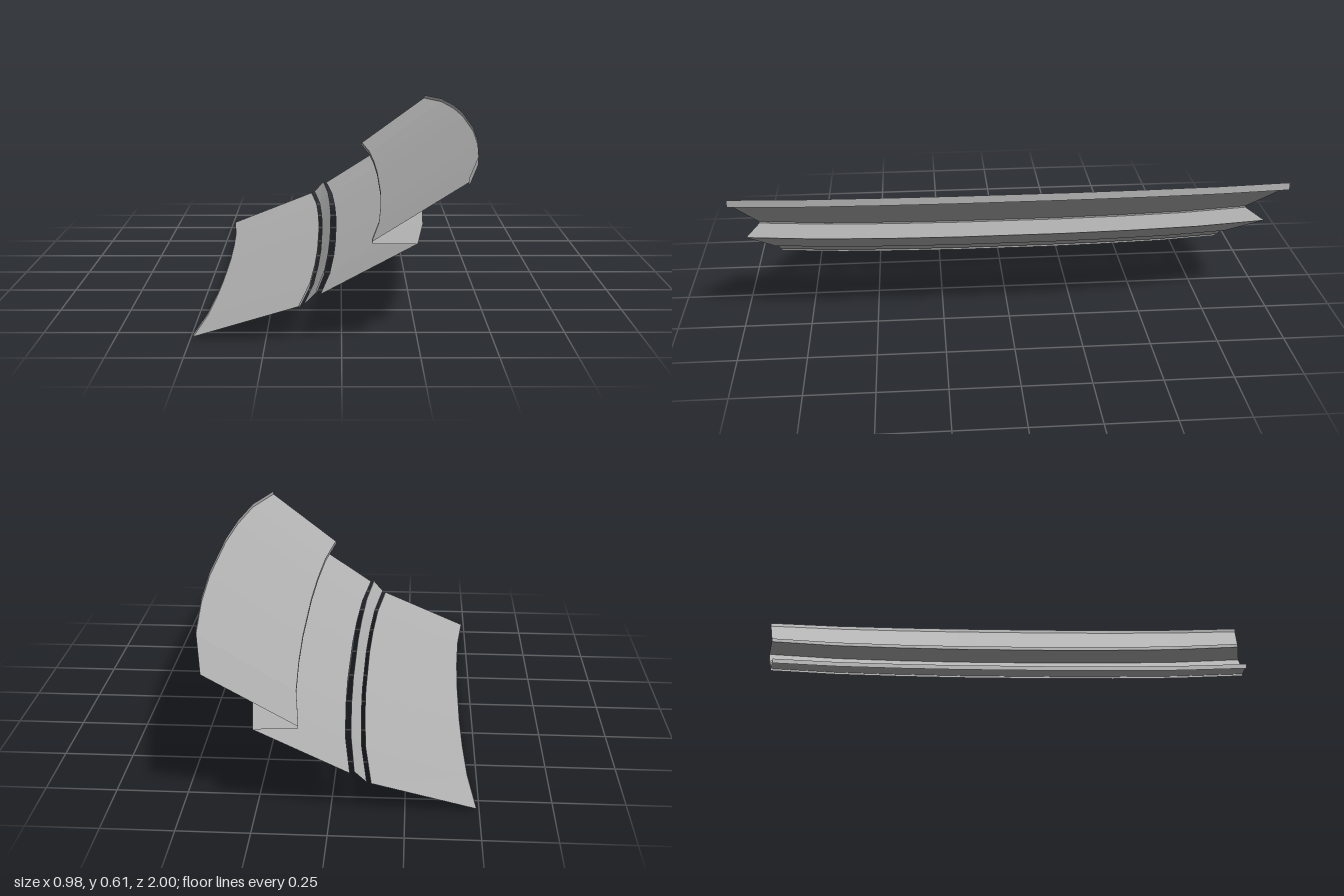
import * as THREE from 'three';

const grey = new THREE.MeshStandardMaterial({ color: 0xb4b4b4, side: THREE.DoubleSide, flatShading: true });
grey.name = 'concrete grey';

// Seven-segment bowed edge: fraction of the half length, and how far it has reached the middle
const HALF = [[1, 0], [0.725, 0.6], [0.455, 0.87], [0.2, 1]];
const STATIONS = [...HALF, ...HALF.slice().reverse().map(([f, b]) => [-f, b])];

// An edge runs from its end point (xEnd, yEnd) through its middle point (xMid, yMid)
function edge(xEnd, xMid, yEnd, yMid, halfLength) {
  return STATIONS.map(([f, b]) => new THREE.Vector3(
    THREE.MathUtils.lerp(xEnd, xMid, b),
    THREE.MathUtils.lerp(yEnd, yMid, b),
    f * halfLength));
}

// Sheet spanning two edges
function sheet(name, a, b) {
  const points = [];
  for (let i = 0; i < a.length - 1; i++) {
    points.push(a[i], b[i], b[i + 1], a[i], b[i + 1], a[i + 1]);
  }
  const geometry = new THREE.BufferGeometry().setFromPoints(points);
  geometry.computeVertexNormals();
  const mesh = new THREE.Mesh(geometry, grey);
  mesh.name = name;
  return mesh;
}

// Thin upright band centred on an edge
function rail(name, line, height) {
  const shifted = (dy) => line.map((p) => p.clone().setY(p.y + dy));
  return sheet(name, shifted(-height / 2), shifted(height / 2));
}

export function createModel() {
  const group = new THREE.Group();
  group.name = 'curvedGrandstand';

  // Edges from the lowest row to the highest
  const lowerFront = edge(-0.49, -0.452, 0.008, 0.008, 0.817);
  const lowerBack = edge(-0.137, -0.09, 0.134, 0.134, 0.887);
  const aisleFront = edge(-0.123, -0.077, 0.14, 0.14, 0.89);
  const aisleBack = edge(-0.082, -0.042, 0.184, 0.184, 0.9);
  const middleFront = edge(-0.068, -0.021, 0.18, 0.18, 0.905);
  const middleBack = edge(0.238, 0.294, 0.363, 0.363, 0.967);
  const upperFront = edge(0.095, 0.147, 0.361, 0.361, 0.935);
  const upperBack = edge(0.39, 0.49, 0.565, 0.596, 1);

  // Sloping tiers
  group.add(
    sheet('lowerTier', lowerFront, lowerBack),
    sheet('aisleStep', aisleFront, aisleBack),
    sheet('middleTier', middleFront, middleBack),
    sheet('upperTierSoffit', middleBack, upperFront.map((p) => p.clone().setY(0.355))),
    sheet('upperTier', upperFront, upperBack));

  // Upright bands along the tier edges
  group.add(
    rail('lowerFrontRail', lowerFront, 0.016),
    rail('lowerBackRail', lowerBack, 0.016),
    rail('aisleRail', aisleBack, 0.016),
    rail('upperFrontRail', upperFront, 0.014),
    rail('upperBackRail', upperBack, 0.028));

  return group;
}
